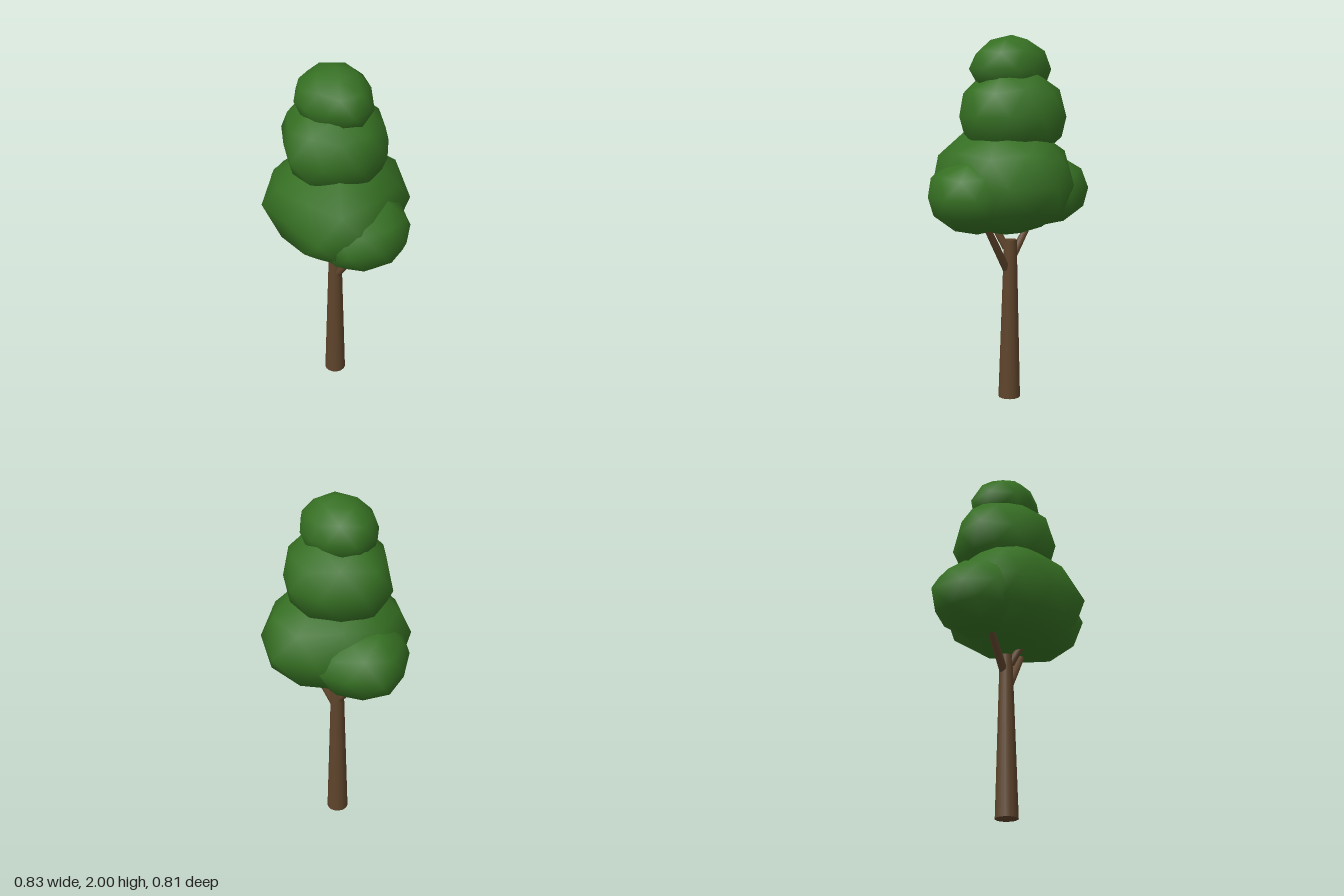
import * as THREE from 'three';
import { mergeVertices } from 'three/addons/utils/BufferGeometryUtils.js';

const bark = new THREE.MeshStandardMaterial({ color: 0x5e442b });
bark.name = 'bark brown';
const leaf = new THREE.MeshStandardMaterial({ color: 0x367023 });
leaf.name = 'leaf green';

const step = Math.PI / 5;

// Irregular leaf clump: a subdivided icosahedron standing on a corner, whose ten
// equator points (every 36 degrees, from 18) are pulled to the given [x, z] corners
function leafClump(name, [x, y, z], up, down, corners) {
  let geo = new THREE.IcosahedronGeometry(1, 1);
  geo.deleteAttribute('normal');
  geo.deleteAttribute('uv');
  geo = mergeVertices(geo, 1e-4);
  geo.rotateX(-Math.atan((1 + Math.sqrt(5)) / 2)).rotateY(Math.PI / 2);
  const pos = geo.attributes.position;
  for (let i = 0; i < pos.count; i++) {
    const px = pos.getX(i), py = pos.getY(i), pz = pos.getZ(i);
    const turn = (Math.atan2(pz, px) / step - 0.5 + 10) % 10;
    const k = Math.floor(turn), angle = (turn - k) * step;
    // Share of the two neighbouring corners
    const scale = Math.hypot(px, pz) / Math.sin(step);
    const a = Math.sin(step - angle) * scale, b = Math.sin(angle) * scale;
    const c = corners[k % 10], d = corners[(k + 1) % 10];
    pos.setXYZ(i, a * (c[0] - x) + b * (d[0] - x), py * (py > 0 ? up : down), a * (c[1] - z) + b * (d[1] - z));
  }
  geo.computeVertexNormals();
  const mesh = new THREE.Mesh(geo, leaf);
  mesh.name = name;
  mesh.position.set(x, y, z);
  return mesh;
}

// Tapered round limb between two points
function limb(name, from, to, r0, r1, sides) {
  const a = new THREE.Vector3(...from), b = new THREE.Vector3(...to);
  const dir = b.clone().sub(a);
  const mesh = new THREE.Mesh(new THREE.CylinderGeometry(r1, r0, dir.length(), sides), bark);
  mesh.name = name;
  mesh.position.copy(a).add(b).multiplyScalar(0.5);
  mesh.quaternion.setFromUnitVectors(new THREE.Vector3(0, 1, 0), dir.normalize());
  return mesh;
}

export function createModel() {
  const tree = new THREE.Group();
  tree.name = 'tree';

  // Trunk and the three branches that carry the crown
  tree.add(
    limb('trunk', [-0.003, 0, -0.027], [-0.004, 0.895, -0.033], 0.061, 0.035, 16),
    limb('leftBranch', [0.015, 0.735, -0.015], [0.21, 1.02, 0.045], 0.023, 0.018, 8),
    limb('rightBranch', [-0.01, 0.79, -0.04], [-0.21, 1.03, -0.11], 0.023, 0.018, 8),
    limb('frontBranch', [0.003, 0.85, -0.01], [0.015, 1.02, 0.085], 0.023, 0.018, 8),
  );

  // Crown: three stacked clumps and two side clumps
  tree.add(
    leafClump('lowerCrown', [0, 1.21, 0], 0.33, 0.29,
      [[0.335, 0.08], [0.25, 0.32], [0, 0.405], [-0.2, 0.24], [-0.38, 0.09],
        [-0.36, -0.1], [-0.24, -0.3], [0, -0.39], [0.25, -0.375], [0.385, -0.155]]),
    leafClump('middleCrown', [0, 1.57, -0.04], 0.27, 0.25,
      [[0.285, 0.06], [0.16, 0.2], [0, 0.25], [-0.18, 0.215], [-0.26, 0.04],
        [-0.32, -0.14], [-0.21, -0.275], [0, -0.345], [0.175, -0.275], [0.26, -0.12]]),
    leafClump('topCrown', [0, 1.82, -0.04], 0.18, 0.16,
      [[0.21, 0.04], [0.13, 0.155], [0, 0.15], [-0.125, 0.115], [-0.2, 0.04],
        [-0.225, -0.1], [-0.145, -0.22], [0, -0.23], [0.09, -0.19], [0.165, -0.12]]),
    leafClump('leftFrontClump', [0.16, 1.15, 0.1], 0.215, 0.21,
      [[0.42, 0.185], [0.315, 0.32], [0.155, 0.385], [0, 0.32], [-0.1, 0.18],
        [-0.1, 0.02], [0, -0.12], [0.16, -0.16], [0.31, -0.1], [0.415, 0.015]]),
    leafClump('rightBackClump', [-0.16, 1.16, -0.13], 0.22, 0.21,
      [[0.1, -0.05], [0, 0.08], [-0.16, 0.12], [-0.31, 0.07], [-0.4, -0.04],
        [-0.412, -0.22], [-0.335, -0.39], [-0.16, -0.41], [0, -0.37], [0.1, -0.2]]),
  );
  return tree;
}
